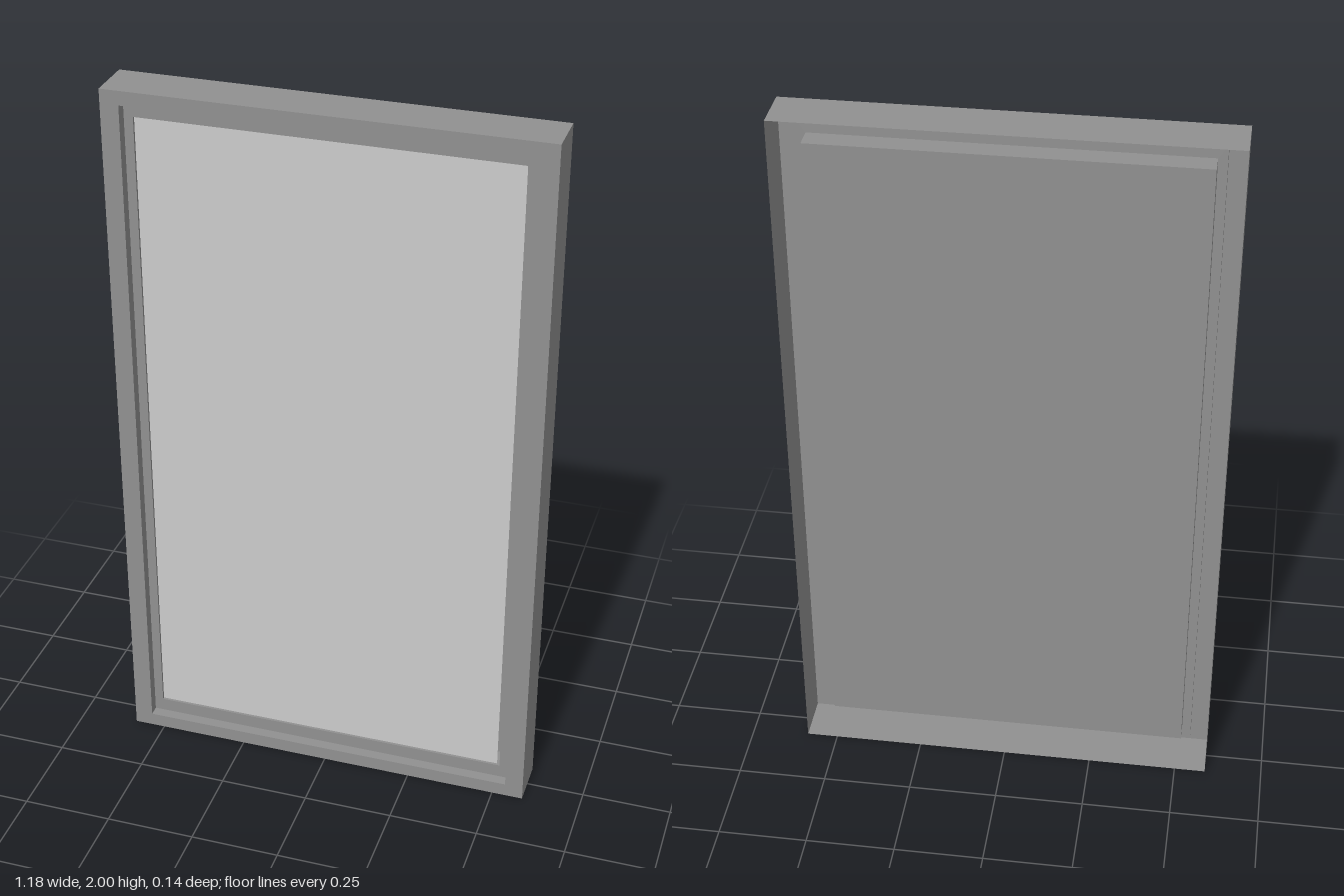
import * as THREE from 'three';

// Sheet that joins a row of rectangular rings [halfWidth, halfHeight, z], closed by a flat cap
function ringSheet(rings) {
  const corners = rings.map(([w, h, z]) => [[-w, -h, z], [w, -h, z], [w, h, z], [-w, h, z]]);
  const pos = [];
  const quad = (a, b, c, d) => pos.push(...a, ...b, ...c, ...a, ...c, ...d);
  for (let i = 0; i + 1 < corners.length; i++) {
    const a = corners[i], b = corners[i + 1];
    for (let k = 0; k < 4; k++) {
      const n = (k + 1) % 4;
      quad(a[k], a[n], b[n], b[k]);
    }
  }
  quad(...corners[corners.length - 1]);
  const geo = new THREE.BufferGeometry();
  geo.setAttribute('position', new THREE.Float32BufferAttribute(pos, 3));
  geo.computeVertexNormals();
  return geo;
}

export function createModel() {
  const model = new THREE.Group();
  model.name = 'framedPanel';

  // Thin-walled frame, open at the back: outer wall, front rim, step, ledge and pocket
  const frame = new THREE.Mesh(
    ringSheet([
      [0.588, 1.0, -0.068],
      [0.588, 1.0, 0.068],
      [0.537, 0.961, 0.068],
      [0.537, 0.961, 0.038],
      [0.512, 0.922, 0.038],
      [0.512, 0.922, -0.022],
    ]),
    new THREE.MeshStandardMaterial({ color: 0x919191, side: THREE.DoubleSide, flatShading: true })
  );
  frame.name = 'frame';
  frame.position.y = 1;
  model.add(frame);

  // Light panel in the pocket, with a narrow gap on one side
  const panel = new THREE.Mesh(
    new THREE.PlaneGeometry(1.015, 1.842),
    new THREE.MeshStandardMaterial({ color: 0xcccccc, side: THREE.DoubleSide })
  );
  panel.name = 'panel';
  panel.position.set(-0.004, 1, 0.032);
  model.add(panel);

  return model;
}
